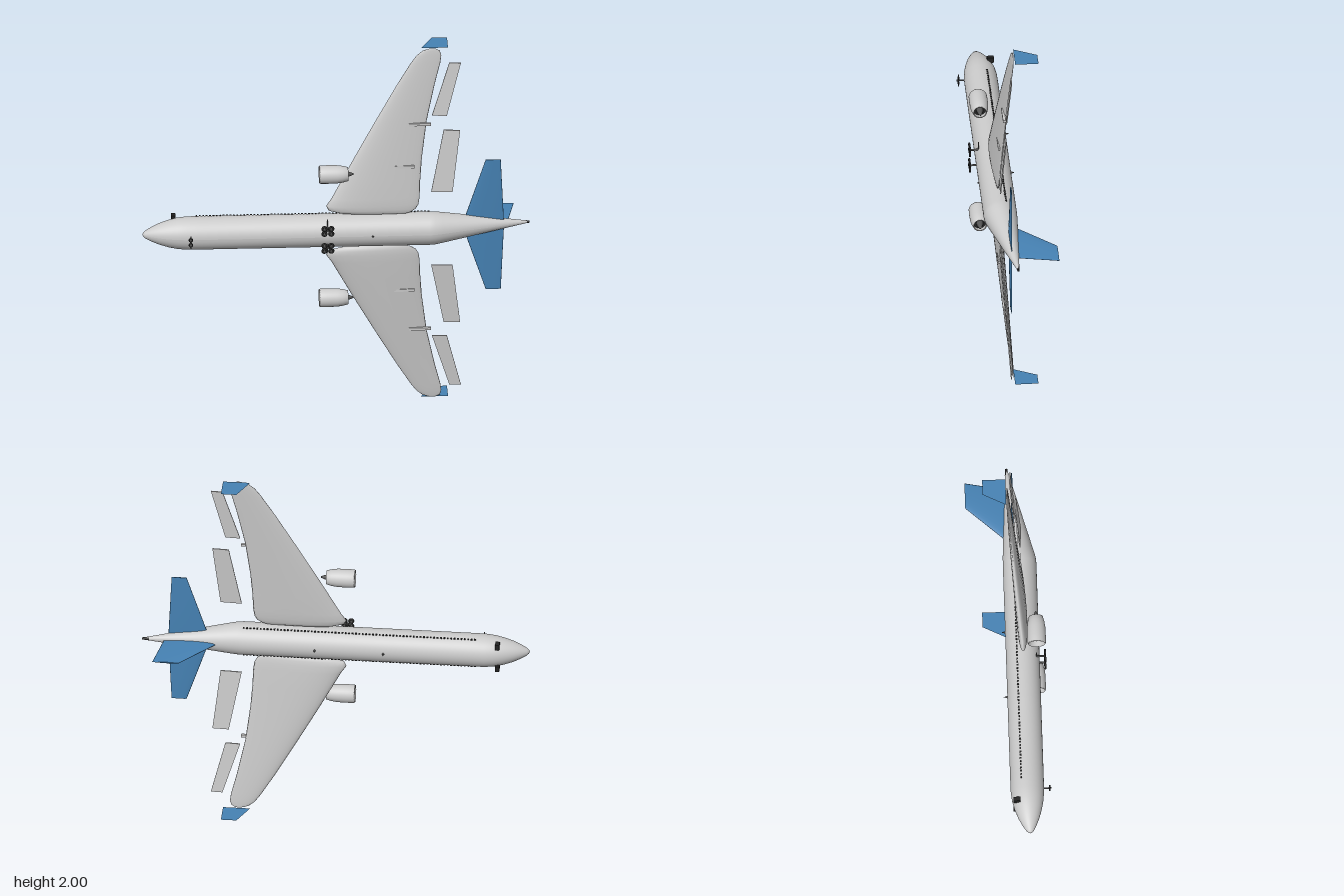
import * as THREE from 'three';

const paint = (color) => new THREE.MeshStandardMaterial({ color, side: THREE.DoubleSide });
const grey = paint(0xcccccc), blue = paint(0x4682b4), dark = paint(0x222222), metal = paint(0x555555);

function add(parent, name, geo, mat, x = 0, y = 0, z = 0) {
  const mesh = new THREE.Mesh(geo, mat);
  mesh.name = name;
  mesh.position.set(x, y, z);
  parent.add(mesh);
  return mesh;
}

// Lathe around the x axis; points are [radius, x]
const latheX = (pts, seg) =>
  new THREE.LatheGeometry(pts.map(([r, x]) => new THREE.Vector2(r, x)), seg).rotateZ(-Math.PI / 2);

// Airfoil skin along +y; rows are [span, leading x, trailing x, thickness]
function airfoil(rows, zAt, n = 28) {
  const first = rows[0], last = rows[rows.length - 1];
  const close = ([s, a, b]) => [s, (a + b) / 2, (a + b) / 2, 0];
  const all = [close(first), ...rows, close(last)];
  const pos = [], idx = [];
  all.forEach(([s, le, te, th], j) => {
    for (let i = 0; i < n; i++) {
      const t = (i / n) * Math.PI * 2, u = (1 - Math.cos(t)) / 2;
      pos.push(le + (te - le) * u, s, zAt(s) + (th / 2) * Math.sin(t) * (1.25 - 0.7 * u));
      if (j < all.length - 1) {
        const a = j * n + i, b = j * n + (i + 1) % n;
        idx.push(a, b, a + n, b, b + n, a + n);
      }
    }
  });
  const geo = new THREE.BufferGeometry();
  geo.setAttribute('position', new THREE.Float32BufferAttribute(pos, 3));
  geo.setIndex(idx);
  geo.computeVertexNormals();
  return geo;
}

// Thin plate lying in the xy plane
const plate = (pts, depth) => new THREE.ExtrudeGeometry(
  new THREE.Shape(pts.map(([x, y]) => new THREE.Vector2(x, y))), { depth, bevelEnabled: false });

const wingZ = (s) => 0.075 - 0.078 * (s - 0.1);

function makeFuselage() {
  const geo = latheX([[0, -1], [0.01, -0.996], [0.02, -0.985], [0.037, -0.955], [0.055, -0.915],
    [0.071, -0.865], [0.081, -0.82], [0.086, -0.77], [0.0865, -0.7], [0.0865, 0], [0.0865, 0.48],
    [0.085, 0.51], [0.079, 0.55], [0.046, 0.75], [0.006, 0.99], [0, 0.99]], 48);
  // The nose dips slightly and the tail sweeps up (towards -z)
  const p = geo.attributes.position;
  for (let i = 0; i < p.count; i++) {
    const x = p.getX(i);
    const dip = x < -0.77 ? 0.008 * ((-0.77 - x) / 0.23) ** 2 : 0;
    const lift = x > 0.5 ? 0.053 * (x - 0.5) / 0.5 : 0;
    p.setZ(i, p.getZ(i) + 0.07 + dip - lift);
  }
  geo.computeVertexNormals();
  return geo;
}

function makeEngine() {
  const g = new THREE.Group();
  g.name = 'engine';
  add(g, 'nacelle', latheX([[0.031, 0.058], [0.038, -0.04], [0.041, -0.085], [0.044, -0.092],
    [0.047, -0.086], [0.048, -0.05], [0.047, 0], [0.043, 0.03], [0.036, 0.058], [0.031, 0.058]], 32), grey);
  add(g, 'fanDisc', new THREE.CircleGeometry(0.039, 32).rotateY(-Math.PI / 2), dark, -0.05);
  add(g, 'spinner', new THREE.ConeGeometry(0.012, 0.028, 20).rotateZ(Math.PI / 2), metal, -0.065);
  for (let i = 0; i < 16; i++) {
    const blade = add(g, 'fanBlade', new THREE.BoxGeometry(0.003, 0.027, 0.006)
      .rotateY(0.5).translate(0, 0.024, 0), metal, -0.056);
    blade.rotation.x = i * Math.PI / 8;
  }
  add(g, 'exhaustDisc', new THREE.CircleGeometry(0.033, 32).rotateY(Math.PI / 2), dark, 0.035);
  add(g, 'exhaustCone', latheX([[0.018, 0.034], [0.014, 0.058], [0.008, 0.075], [0.004, 0.086], [0, 0.086]], 20), metal);
  return g;
}

function makeWheel(parent, x, y, r) {
  add(parent, 'tyre', new THREE.TorusGeometry(r * 0.68, r * 0.32, 10, 20), dark, x, y, 0.185);
  add(parent, 'hub', new THREE.CylinderGeometry(r * 0.5, r * 0.5, 0.006, 14).rotateX(Math.PI / 2), metal, x, y, 0.185);
}

// Everything on one side of the centre plane, span along +y
function makeSide() {
  const g = new THREE.Group();
  add(g, 'wing', airfoil([[0.09, 0.1, 0.36, 0.012], [0.098, 0.02, 0.385, 0.035], [0.115, -0.04, 0.41, 0.048],
    [0.14, -0.052, 0.424, 0.055], [0.18, -0.025, 0.43, 0.057], [0.28, 0.028, 0.434, 0.053],
    [0.4, 0.092, 0.443, 0.047], [0.6, 0.202, 0.468, 0.037], [0.8, 0.315, 0.51, 0.025],
    [0.92, 0.388, 0.54, 0.017], [0.96, 0.417, 0.545, 0.014], [0.985, 0.448, 0.537, 0.01],
    [0.997, 0.485, 0.515, 0.005]], wingZ), grey);

  // Flaps follow the dihedral of the wing
  const flaps = [[[0.49, 0.21], [0.6, 0.21], [0.64, 0.55], [0.555, 0.55]],
    [[0.495, 0.63], [0.572, 0.63], [0.645, 0.92], [0.585, 0.92]]];
  flaps.forEach((pts, i) => {
    const geo = plate(pts, 0.006), p = geo.attributes.position;
    for (let k = 0; k < p.count; k++) {
      p.setZ(k, p.getZ(k) + wingZ(p.getY(k)) + 0.006 + 0.05 * (p.getX(k) - 0.55));
    }
    geo.computeVertexNormals();
    add(g, i ? 'outerFlap' : 'innerFlap', geo, grey);
  });

  // Flap track fairings under the wing
  [[0.335, 0.353, 0.135], [0.433, 0.585, 0.115]].forEach(([x, y, len]) =>
    add(g, 'flapFairing', new THREE.BoxGeometry(len, 0.014, 0.014), grey, x, y, wingZ(y) + 0.012));

  const winglet = new THREE.ShapeGeometry(new THREE.Shape([[0.44, 0], [0.58, 0], [0.58, 0.12], [0.5, 0.12]]
    .map(([x, y]) => new THREE.Vector2(x, y)))).rotateX(-Math.PI / 2);
  add(g, 'winglet', winglet, blue, 0, 0.998, 0);

  add(g, 'tailplane', airfoil([[0, 0.65, 0.867, 0.014], [0.37, 0.772, 0.85, 0.007]], () => 0.04), blue);

  const engine = makeEngine();
  engine.position.set(0, 0.353, 0.14);
  g.add(engine);

  // Main landing gear: four wheels on a short bogie
  for (const x of [-0.066, -0.031]) for (const y of [0.034, 0.063]) makeWheel(g, x, y, 0.016);
  add(g, 'gearStrut', new THREE.CylinderGeometry(0.005, 0.005, 0.06, 10).rotateX(Math.PI / 2), metal, -0.048, 0.048, 0.155);
  add(g, 'bogieBeam', new THREE.BoxGeometry(0.04, 0.006, 0.005), metal, -0.048, 0.048, 0.182);
  add(g, 'gearBrace', new THREE.CylinderGeometry(0.003, 0.003, 0.05, 8), metal, -0.048, 0.068, 0.14);
  makeWheel(g, -0.755, 0.014, 0.012);

  // Cabin and cockpit windows
  const windows = new THREE.InstancedMesh(new THREE.BoxGeometry(0.009, 0.006, 0.009), dark, 69);
  windows.name = 'cabinWindows';
  for (let i = 0; i < 69; i++) windows.setMatrixAt(i, new THREE.Matrix4().makeTranslation(-0.72 + i * 0.0176, 0.081, 0.04));
  g.add(windows);
  add(g, 'cockpitWindow', new THREE.BoxGeometry(0.022, 0.03, 0.036), dark, -0.838, 0.066, 0.014);
  return g;
}

export function createModel() {
  const model = new THREE.Group();
  model.name = 'airliner';
  const body = new THREE.Group();
  body.name = 'body';
  body.position.y = 1;
  model.add(body);

  add(body, 'fuselage', makeFuselage(), grey);
  add(body, 'tailExhaust', new THREE.CylinderGeometry(0.006, 0.009, 0.035, 14).rotateZ(-Math.PI / 2), dark, 0.982, 0, 0.018);
  add(body, 'fin', airfoil([[-0.03, 0.583, 0.883, 0.026], [0.2, 0.79, 0.928, 0.009]], () => 0)
    .rotateX(-Math.PI / 2), blue);

  // Nose gear strut and axle
  add(body, 'noseGearStrut', new THREE.CylinderGeometry(0.004, 0.004, 0.06, 10).rotateX(Math.PI / 2), metal, -0.755, 0, 0.165);
  add(body, 'noseGearAxle', new THREE.CylinderGeometry(0.003, 0.003, 0.07, 8), metal, -0.755, 0, 0.185);

  // Small aerials on the back and belly
  for (const x of [-0.25, 0.105]) {
    add(body, 'aerial', new THREE.ConeGeometry(0.007, 0.022, 10).rotateX(-Math.PI / 2), metal, x, 0, -0.025);
  }
  add(body, 'bellyAerial', new THREE.ConeGeometry(0.006, 0.014, 10).rotateX(Math.PI / 2), metal, 0.185, 0, 0.161);

  // Two mirrored sides
  for (const s of [1, -1]) {
    const side = makeSide();
    side.name = s > 0 ? 'upperSide' : 'lowerSide';
    side.scale.y = s;
    body.add(side);
  }
  return model;
}
